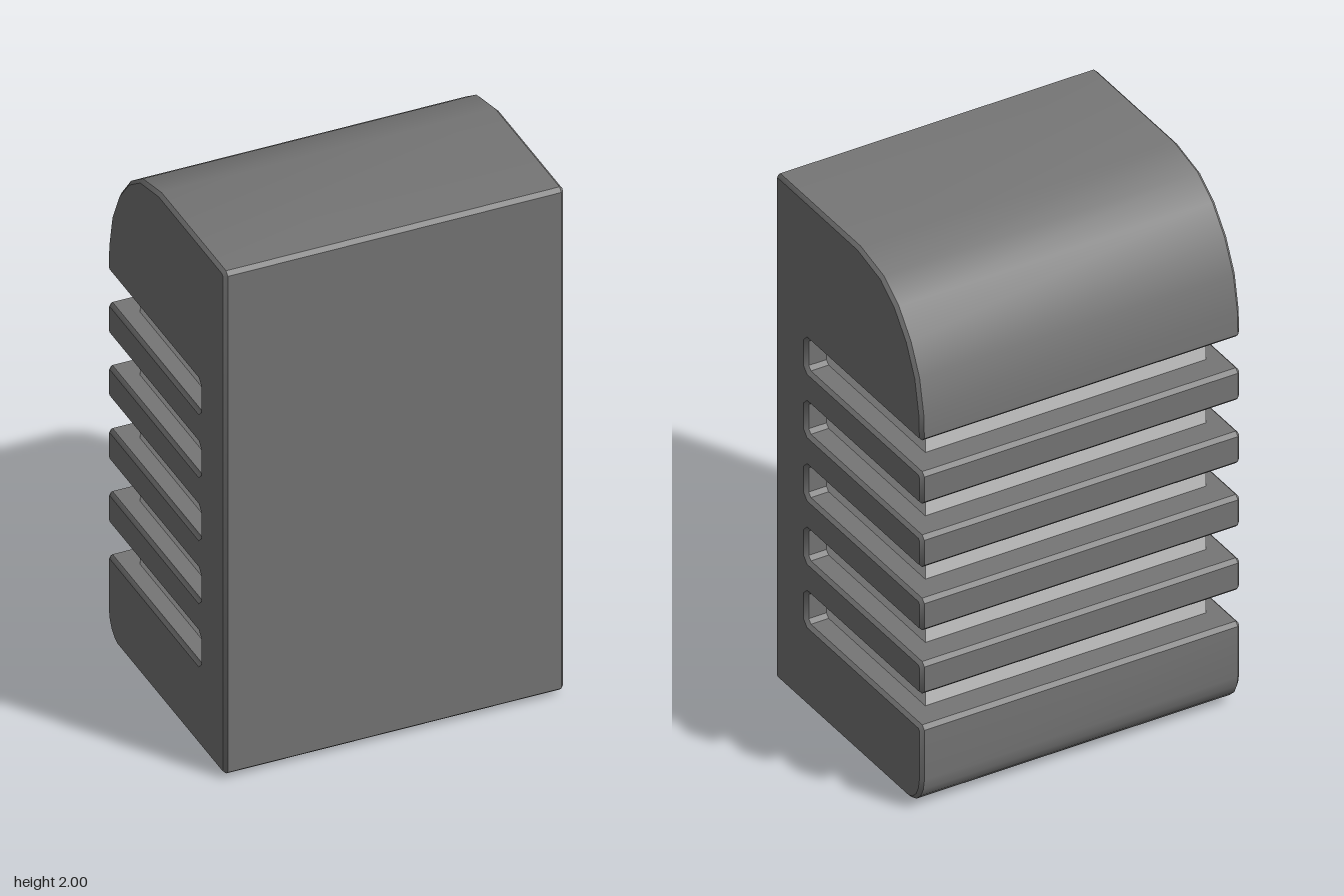
import * as THREE from 'three';
import { toCreasedNormals } from 'three/addons/utils/BufferGeometryUtils.js';

const BEVEL = 0.012;
const BACK = 0.465;       // depth is measured backwards, so +BACK is z = -0.465
const SLOT_DEPTH = -0.27;
const HALF_WIDTH = 0.615;

// Side profile of the housing: solid front wall, comb of fins at the back
function housingProfile() {
  const c = 0.014;
  const p = [
    [-BACK, 0.027], [-BACK + c, 0.015],
    // rounded lower back edge
    [0.385, 0.015], [0.415, 0.026], [0.442, 0.052], [0.458, 0.085], [BACK, 0.125],
  ];
  // ventilation slots, from bottom to top
  for (let i = 0; i < 5; i++) {
    const y0 = 0.336 + i * 0.249, y1 = y0 + 0.123;
    p.push(
      [BACK, y0 - c], [BACK - c, y0],
      [SLOT_DEPTH + c, y0], [SLOT_DEPTH, y0 + c],
      [SLOT_DEPTH, y1 - c], [SLOT_DEPTH + c, y1],
      [BACK - c, y1], [BACK, y1 + c],
    );
  }
  // rounded upper back
  p.push([0.461, 1.56], [0.435, 1.69], [0.38, 1.805], [0.303, 1.9], [0.21, 1.965], [0.06, 2]);
  p.push([-BACK + c, 2], [-BACK, 2 - c]);
  return new THREE.Shape(p.map(([u, y]) => new THREE.Vector2(u, y)));
}

export function createModel() {
  const group = new THREE.Group();

  // Finned housing, extruded across the width
  const depth = 2 * (HALF_WIDTH - BEVEL);
  const geometry = new THREE.ExtrudeGeometry(housingProfile(), {
    depth, bevelEnabled: true, bevelThickness: BEVEL,
    bevelSize: BEVEL, bevelOffset: -BEVEL, bevelSegments: 1,
  });
  geometry.translate(0, 0, -depth / 2);
  geometry.rotateY(Math.PI / 2);
  const housing = new THREE.Mesh(
    toCreasedNormals(geometry, 0.6),
    new THREE.MeshStandardMaterial({ color: 0x767676 }),
  );
  housing.name = 'finnedHousing';
  group.add(housing);

  // Light core visible between the fins and just below the base
  const core = new THREE.Mesh(
    new THREE.BoxGeometry(1.08, 1.55, 0.74),
    new THREE.MeshStandardMaterial({ color: 0xcccccc }),
  );
  core.position.set(-0.005, 0.775, 0.012);
  core.name = 'innerCore';
  group.add(core);

  return group;
}
